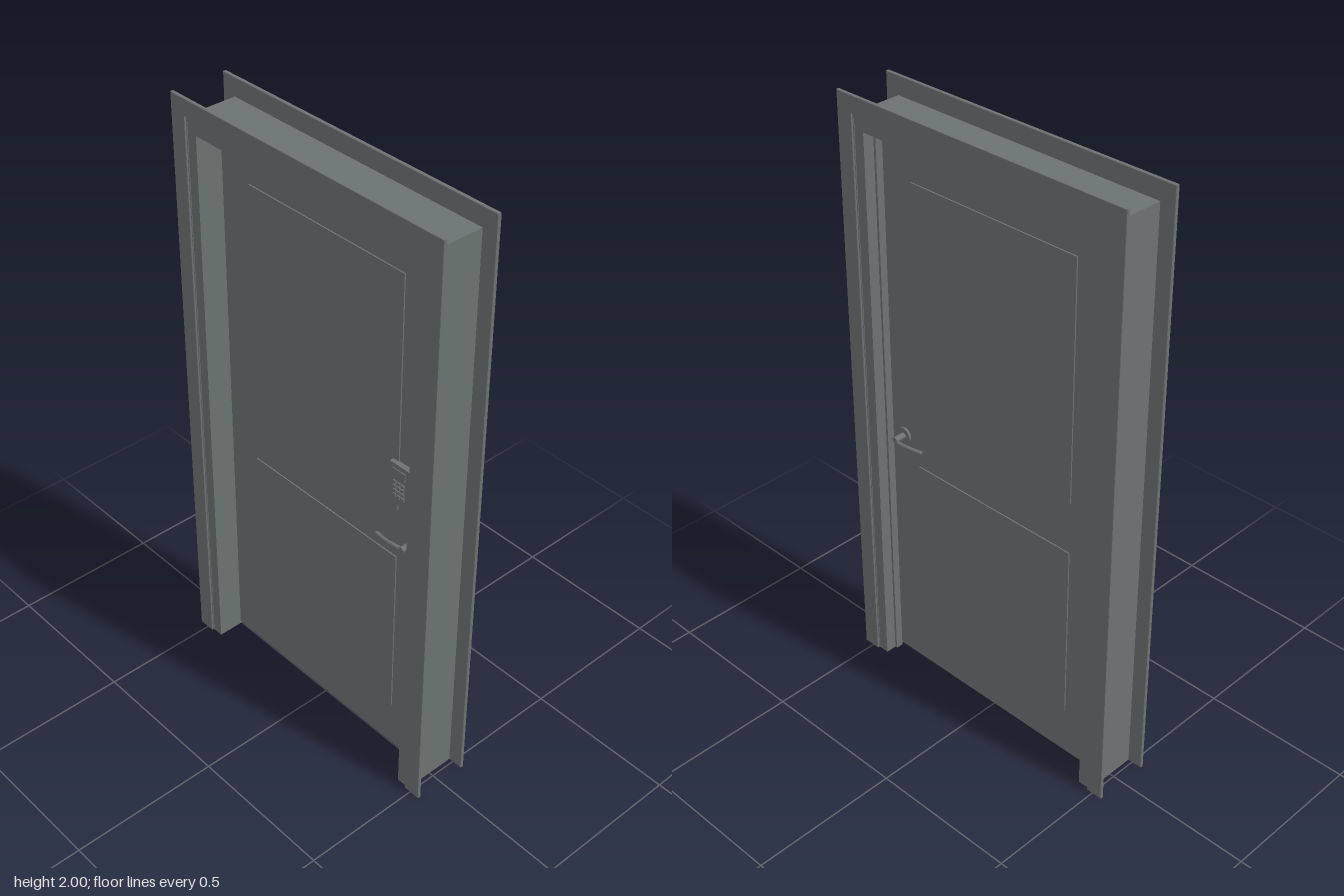
import * as THREE from 'three';

const grey = new THREE.MeshStandardMaterial({ color: 0x6a7371 });
grey.name = 'greyPaint';

const LOCK_X = 0.376;
const DOOR_FRONT = 0.006, DOOR_BACK = -0.03;

function add(parent, name, geometry, x = 0, y = 0, z = 0) {
  const mesh = new THREE.Mesh(geometry, grey);
  mesh.name = name;
  mesh.position.set(x, y, z);
  parent.add(mesh);
  return mesh;
}

// Box given by its limits
function block(parent, name, x0, x1, y0, y1, z0, z1) {
  return add(parent, name, new THREE.BoxGeometry(x1 - x0, y1 - y0, z1 - z0),
    (x0 + x1) / 2, (y0 + y1) / 2, (z0 + z1) / 2);
}

// Three-sided surround, open at the floor, extruded between z0 and z1
function surround(parent, name, outer, outerTop, inner, innerTop, z0, z1, bevel = 0) {
  const b = bevel, s = new THREE.Shape();
  s.moveTo(-outer + b, b);
  s.lineTo(-inner - b, b);
  s.lineTo(-inner - b, innerTop + b);
  s.lineTo(inner + b, innerTop + b);
  s.lineTo(inner + b, b);
  s.lineTo(outer - b, b);
  s.lineTo(outer - b, outerTop - b);
  s.lineTo(-outer + b, outerTop - b);
  s.closePath();
  const geometry = new THREE.ExtrudeGeometry(s, {
    depth: z1 - z0 - 2 * b, bevelEnabled: b > 0,
    bevelSize: b, bevelThickness: b, bevelSegments: 2,
  });
  return add(parent, name, geometry, 0, 0, z0 + b);
}

// Round plate or shaft facing z, standing out from z = 0
function disc(parent, name, radius, depth, z = 0) {
  const geometry = new THREE.CylinderGeometry(radius, radius, depth, 32);
  geometry.rotateX(Math.PI / 2);
  return add(parent, name, geometry, 0, 0, z + depth / 2);
}

// Lever handle, side = 1 for the front and -1 for the back
function leverHandle(side) {
  const handle = new THREE.Group();
  handle.name = side > 0 ? 'frontHandle' : 'backHandle';
  disc(handle, 'rose', 0.026, 0.008);
  disc(handle, 'spindle', 0.010, 0.04, 0.006);
  const path = new THREE.CatmullRomCurve3([
    new THREE.Vector3(0.004, 0, 0.040),
    new THREE.Vector3(-0.03, -0.002, 0.043),
    new THREE.Vector3(-0.07, -0.006, 0.043),
    new THREE.Vector3(-0.108, -0.008, 0.038),
  ]);
  const lever = add(handle, 'lever', new THREE.TubeGeometry(path, 16, 0.0065, 10));
  const tip = add(handle, 'leverTip', new THREE.SphereGeometry(0.0065, 12, 8));
  tip.position.copy(path.getPoint(1));
  // The back handle turns about and points its lever the other way
  if (side < 0) {
    handle.rotation.y = Math.PI;
    lever.geometry.rotateZ(Math.PI);
    lever.geometry.translate(0, -0.008, 0);
    tip.position.set(-tip.position.x, 0, tip.position.z);
  }
  handle.position.set(LOCK_X, 0.886, side > 0 ? DOOR_FRONT : DOOR_BACK);
  return handle;
}

// Keypad lock with display and a grid of keys
function keypad() {
  const group = new THREE.Group();
  group.name = 'keypad';
  const z = DOOR_FRONT, face = z + 0.018;
  block(group, 'keypadBody', 0.293, 0.371, 1.01, 1.15, z, face);
  block(group, 'keypadDisplay', 0.306, 0.357, 1.108, 1.135, face, face + 0.003);
  for (let row = 0; row < 4; row++) {
    for (let col = 0; col < 3; col++) {
      const x = 0.316 + col * 0.0165, y = 1.041 + row * 0.0155;
      block(group, 'key', x - 0.006, x + 0.006, y - 0.0055, y + 0.0055, face, face + 0.004);
    }
  }
  return group;
}

export function createModel() {
  const model = new THREE.Group();
  model.name = 'door';

  // Frame: jambs, stop behind the leaf, and a casing on each side of the wall
  const frame = new THREE.Group();
  frame.name = 'frame';
  surround(frame, 'jamb', 0.485, 1.94, 0.438, 1.897, -0.092, 0.092);
  surround(frame, 'doorStop', 0.44, 1.899, 0.43, 1.889, -0.055, DOOR_BACK);
  surround(frame, 'frontCasing', 0.535, 2, 0.477, 1.945, 0.088, 0.1, 0.002);
  surround(frame, 'backCasing', 0.535, 2, 0.477, 1.945, -0.1, -0.088, 0.002);
  // Closing strips between the jamb and the casing edges
  for (const side of [-1, 1]) {
    surround(frame, 'jambLip', 0.484, 1.947, 0.474, 1.93,
      side > 0 ? 0.088 : -0.094, side > 0 ? 0.094 : -0.088);
  }
  model.add(frame);

  // Leaf with two raised panels on each face
  const leaf = new THREE.Group();
  leaf.name = 'leaf';
  block(leaf, 'slab', -0.436, 0.436, 0.013, 1.893, DOOR_BACK, DOOR_FRONT);
  for (const [y0, y1] of [[0.18, 0.795], [0.972, 1.766]]) {
    block(leaf, 'raisedPanel', -0.318, 0.314, y0, y1, DOOR_BACK - 0.004, DOOR_FRONT + 0.004);
  }
  model.add(leaf);

  // Hardware
  const bolt = new THREE.Group();
  bolt.name = 'deadbolt';
  bolt.position.set(LOCK_X, 1.22, DOOR_FRONT);
  disc(bolt, 'deadboltCylinder', 0.017, 0.008);
  model.add(bolt, keypad(), leverHandle(1), leverHandle(-1));

  return model;
}
